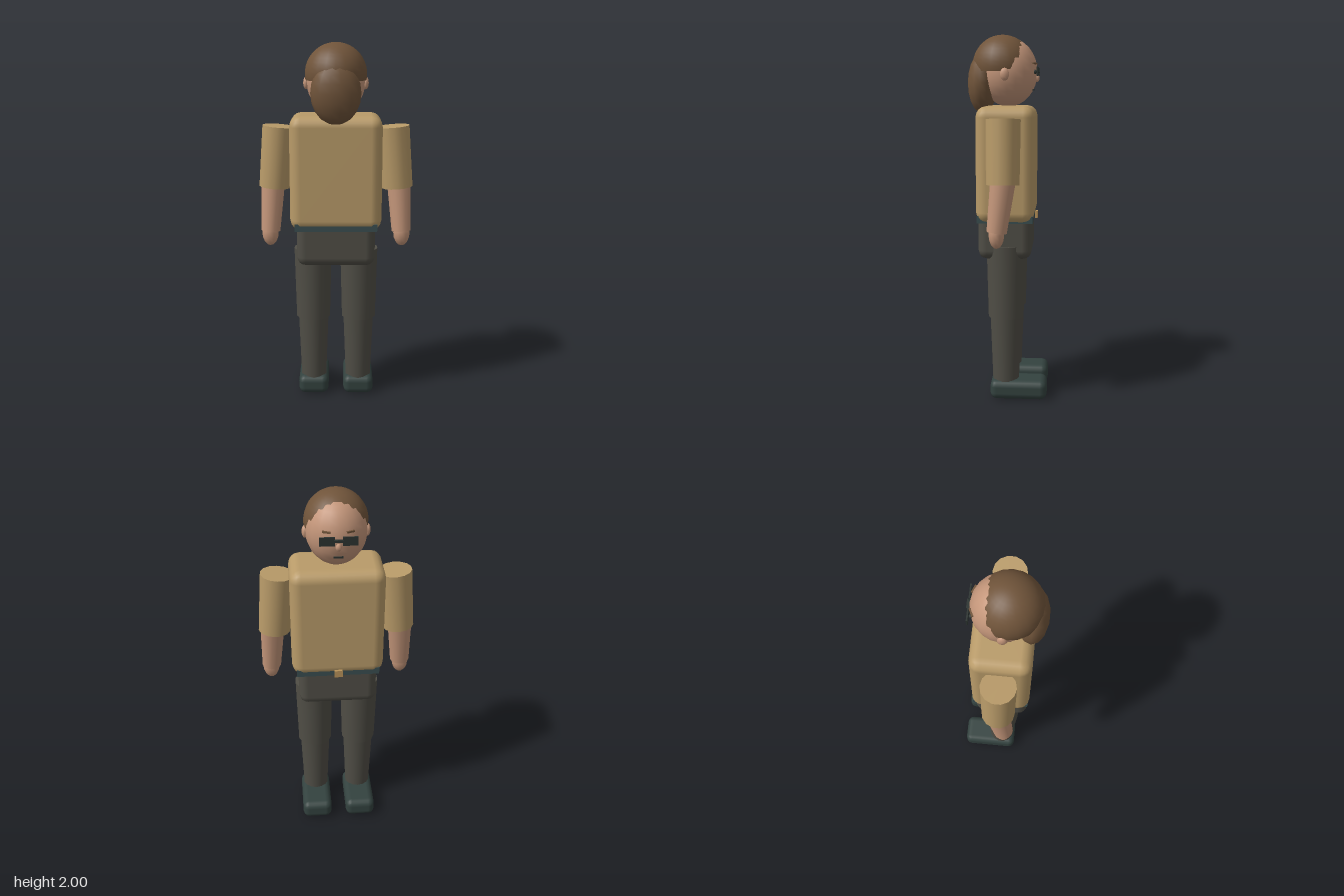
import * as THREE from 'three';
import { RoundedBoxGeometry } from 'three/addons/geometries/RoundedBoxGeometry.js';

const mat = (color) => new THREE.MeshStandardMaterial({ color });

export function createModel() {
  const model = new THREE.Group();
  model.name = 'standingFigure';
  const shirt = mat(0xb99b69), skin = mat(0xc4967a), hair = mat(0x70543a);
  const trousers = mat(0x504e46), leather = mat(0x33423f), belt = mat(0x3a4e50);
  const dark = mat(0x2b3330), brass = mat(0xb8935a);

  function add(name, geometry, material, x, y, z) {
    const mesh = new THREE.Mesh(geometry, material);
    mesh.name = name;
    mesh.position.set(x, y, z);
    model.add(mesh);
    return mesh;
  }
  const box = (name, m, w, h, d, x, y, z) => add(name, new THREE.BoxGeometry(w, h, d), m, x, y, z);
  const soft = (name, m, w, h, d, r, x, y, z) =>
    add(name, new RoundedBoxGeometry(w, h, d, 2, r), m, x, y, z);
  function ball(name, m, rx, ry, rz, x, y, z, ws = 16, hs = 12) {
    const mesh = add(name, new THREE.SphereGeometry(1, ws, hs), m, x, y, z);
    mesh.scale.set(rx, ry, rz);
    return mesh;
  }
  // Tapered cylinder between two points
  function limb(name, m, top, bottom, rTop, rBottom) {
    const a = new THREE.Vector3(...top), b = new THREE.Vector3(...bottom);
    const dir = a.clone().sub(b), mid = a.clone().add(b).multiplyScalar(0.5);
    const mesh = add(name, new THREE.CylinderGeometry(rTop, rBottom, dir.length(), 14), m, mid.x, mid.y, mid.z);
    mesh.quaternion.setFromUnitVectors(new THREE.Vector3(0, 1, 0), dir.normalize());
  }

  // Trunk
  soft('torso', shirt, 0.5, 0.625, 0.315, 0.06, 0, 1.308, 0.005);
  soft('pelvis', trousers, 0.43, 0.26, 0.29, 0.05, 0, 0.925, 0.008);
  box('belt', belt, 0.45, 0.04, 0.3, 0, 1.018, 0.005);
  box('buckle', brass, 0.045, 0.04, 0.014, 0, 1.018, -0.157);

  // Arms, legs and shoes
  for (const s of [1, -1]) {
    const side = s > 0 ? 'left' : 'right';
    limb(side + 'Sleeve', shirt, [s * 0.31, 1.555, 0.006], [s * 0.338, 1.22, 0.006], 0.091, 0.087);
    limb(side + 'Forearm', skin, [s * 0.347, 1.26, 0.002], [s * 0.363, 0.975, 0.036], 0.067, 0.053);
    ball(side + 'Hand', skin, 0.046, 0.075, 0.041, s * 0.366, 0.965, 0.037, 12, 8);
    limb(side + 'Thigh', trousers, [s * 0.129, 0.87, 0.005], [s * 0.129, 0.465, 0.005], 0.107, 0.097);
    limb(side + 'Shin', trousers, [s * 0.128, 0.5, 0.005], [s * 0.128, 0.08, 0.005], 0.088, 0.072);
    soft(side + 'Shoe', leather, 0.172, 0.108, 0.315, 0.037, s * 0.129, 0.054, -0.068);
  }

  // Head
  ball('head', skin, 0.16, 0.185, 0.158, 0, 1.8, 0, 20, 16);
  ball('nose', skin, 0.016, 0.022, 0.018, 0, 1.768, -0.152, 8, 6);
  box('mouth', dark, 0.05, 0.009, 0.014, 0, 1.706, -0.133);

  // Hair cap and the gathered hair behind it
  const cap = add('hairCap', new THREE.SphereGeometry(0.166, 20, 12, 0, Math.PI * 2, 0, Math.PI * 0.56), hair, 0, 1.834, 0.032);
  cap.material = hair.clone();
  cap.material.side = THREE.DoubleSide;
  ball('backHair', hair, 0.134, 0.166, 0.08, 0, 1.741, 0.143, 14, 10);

  // Ears, eyes, brows and spectacles
  for (const s of [1, -1]) {
    const side = s > 0 ? 'left' : 'right';
    ball(side + 'Ear', skin, 0.016, 0.034, 0.025, s * 0.16, 1.786, 0.01, 10, 8);
    ball(side + 'Eye', dark, 0.014, 0.012, 0.01, s * 0.056, 1.8, -0.146, 8, 6);
    const brow = box(side + 'Brow', hair, 0.042, 0.009, 0.012, s * 0.06, 1.845, -0.141);
    brow.rotation.y = s * -0.4;
    box(side + 'Lens', dark, 0.076, 0.046, 0.008, s * 0.058, 1.803, -0.16);
  }
  box('spectacleBridge', dark, 0.05, 0.012, 0.014, 0, 1.806, -0.164);

  return model;
}
